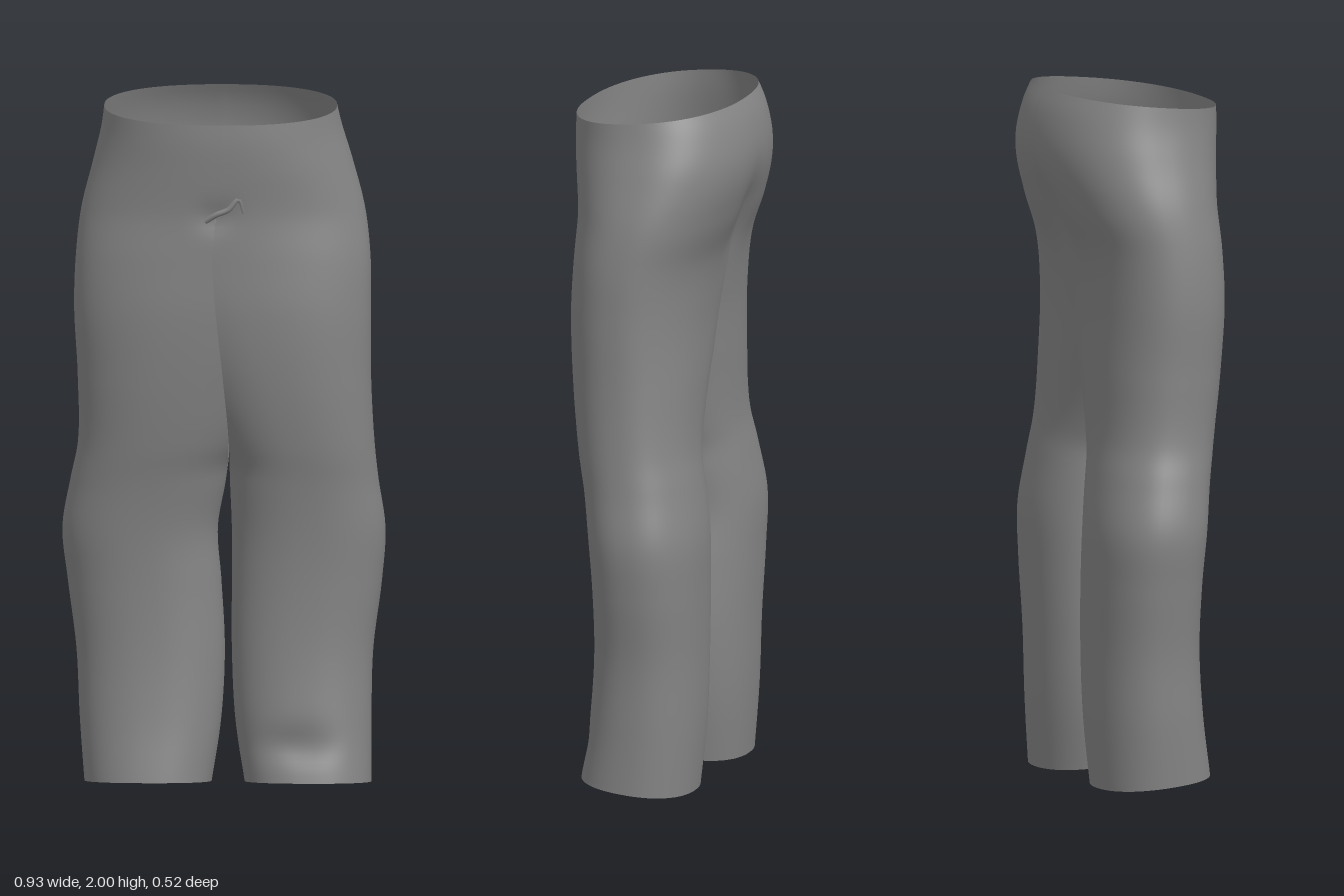
import * as THREE from 'three';

const CROTCH = 1.68, TOP = 1.978, HEM = 0.018, KNEE = 0.9;
const DEG = Math.PI / 180;

// Cross-sections from hem to waist:
// height, outer x (left, right), inner x (left, right), front z, back z,
// half sweep of the outer panel in degrees, hollow depth of the inseam
const SECTIONS = [
  [0.00, 0.42, -0.40, 0.06, -0.04, 0.18, -0.15, 180, 0],
  [0.20, 0.42, -0.415, 0.03, -0.01, 0.155, -0.165, 180, 0],
  [0.40, 0.425, -0.425, 0.02, 0.00, 0.14, -0.17, 180, 0],
  [0.60, 0.45, -0.45, 0.02, -0.01, 0.14, -0.175, 180, 0],
  [0.75, 0.46, -0.465, 0.02, -0.02, 0.15, -0.175, 180, 0],
  [0.90, 0.44, -0.44, 0.015, 0.005, 0.17, -0.155, 180, 0],
  [1.00, 0.43, -0.42, 0.015, 0.014, 0.19, -0.14, 150, 0.01],
  [1.20, 0.42, -0.42, 0.00, 0.00, 0.22, -0.138, 122, 0.05],
  [1.40, 0.42, -0.43, -0.02, -0.02, 0.238, -0.145, 106, 0.10],
  [1.55, 0.418, -0.425, -0.03, -0.03, 0.24, -0.17, 97, 0.14],
  [1.68, 0.402, -0.41, -0.02, -0.02, 0.242, -0.225, 90, 0.18],
  [1.82, 0.365, -0.375, 0.00, 0.00, 0.255, -0.26, 90, 0.18],
  [1.92, 0.335, -0.352, 0.00, 0.00, 0.261, -0.245, 90, 0.18],
  [2.00, 0.318, -0.342, 0.00, 0.00, 0.26, -0.21, 90, 0.18],
];
const spline = new THREE.CubicInterpolant(
  SECTIONS.map((s) => s[0]), SECTIONS.flatMap((s) => s.slice(1)), 8, new Float32Array(8));

const bell = (t, w) => Math.exp(-(t * t) / (w * w));
const spow = (v, p) => Math.sign(v) * Math.abs(v) ** p;

function sectionAt(y, side) {
  const [oL, oR, iL, iR, zf, zb, sweep, hollow] = spline.evaluate(y);
  const t0 = THREE.MathUtils.clamp(y >= CROTCH ? 90 : y <= KNEE ? 180 : sweep, 90, 180) * DEG;
  const xo = side > 0 ? oL : oR, xi = side > 0 ? iL : iR;
  const p = 0.88;
  const k = spow(Math.cos(t0), p);
  const a = (xo - xi) / (1 - k);
  return { xi, a, c: xo - a, t0, p, zm: (zf + zb) / 2, zr: (zf - zb) / 2, hollow: Math.max(0, hollow) };
}

// Point on the outer cloth, v from -1 (back seam) to 1 (front seam)
function outerPoint(y, v, side) {
  const s = sectionAt(y, side);
  const t = v * s.t0;
  const x = s.c + s.a * spow(Math.cos(t), s.p);
  let z = s.zm + s.zr * spow(Math.sin(t), s.p);
  if (v < 0) z += 0.02 * bell(x - s.xi, 0.06) * bell(y - 1.66, 0.1); // seat cleft
  else {
    z -= 0.012 * bell(x - s.xi, 0.05) * bell(y - 1.68, 0.04); // front pinch
    if (side > 0) z -= 0.02 * bell(x - 0.2, 0.1) * bell(y - 0.13, 0.06); // dent above left hem
  }
  // tilt the waist opening and the hem
  const waist = THREE.MathUtils.smoothstep(y, 1.72, TOP);
  const hem = 1 - THREE.MathUtils.smoothstep(y, HEM, 0.25);
  return [x, y + z * 0.1 * (hem - waist), z];
}

// Point on the hidden inner wall, s from -1 (back seam) to 1 (front seam)
function innerPoint(y, s, side) {
  const sec = sectionAt(y, side);
  const f = outerPoint(y, 1, side)[2], b = outerPoint(y, -1, side)[2];
  const bulge = sec.hollow * Math.sqrt(Math.max(0, 1 - s * s));
  return [sec.xi + side * bulge, y, (f + b) / 2 + s * (f - b) / 2];
}

// Smooth sheet from a rule point(u, v), both 0..1
function sheet(rows, cols, point, flip) {
  const pos = [], idx = [];
  for (let i = 0; i <= rows; i++)
    for (let j = 0; j <= cols; j++) pos.push(...point(i / rows, j / cols));
  for (let i = 0; i < rows; i++)
    for (let j = 0; j < cols; j++) {
      const a = i * (cols + 1) + j, b = a + 1, d = a + cols + 1, c = d + 1;
      if (flip) idx.push(a, c, b, a, d, c);
      else idx.push(a, b, c, a, c, d);
    }
  const g = new THREE.BufferGeometry();
  g.setAttribute('position', new THREE.Float32BufferAttribute(pos, 3));
  g.setIndex(idx);
  g.computeVertexNormals();
  return g;
}

export function createModel() {
  const group = new THREE.Group();
  group.name = 'trousers';
  const cloth = new THREE.MeshStandardMaterial({ color: 0x858585, side: THREE.DoubleSide });
  cloth.name = 'grey cloth';
  const add = (name, geometry) => {
    const mesh = new THREE.Mesh(geometry, cloth);
    mesh.name = name;
    group.add(mesh);
    return mesh;
  };
  const lerp = THREE.MathUtils.lerp;

  for (const [label, side] of [['left', 1], ['right', -1]]) {
    // hip and leg cloth, wrapping the whole leg below the knee
    add(label + 'LegPanel', sheet(90, 56,
      (u, v) => outerPoint(lerp(HEM, TOP, u), 1 - 2 * v, side), side < 0));
    // inner thigh wall
    add(label + 'Inseam', sheet(36, 24,
      (u, v) => innerPoint(lerp(KNEE, CROTCH, u), Math.sin((v - 0.5) * Math.PI), side), side < 0));
  }

  // crotch gusset bridging the two inner walls
  add('gusset', sheet(28, 16, (u, v) => {
    const s = Math.sin((u - 0.5) * Math.PI);
    const r = innerPoint(CROTCH, s, -1), l = innerPoint(CROTCH, s, 1);
    const w = 2 * v - 1;
    return [lerp(r[0], l[0], v), CROTCH + 0.03 * (1 - w * w) * (1 - s * s), lerp(r[2], l[2], v)];
  }, false));

  // small crumpled fold at the top of the front seam
  const foldPath = new THREE.CatmullRomCurve3([
    [-0.05, 1.67, 0.232], [-0.02, 1.69, 0.24], [0.015, 1.705, 0.242],
    [0.045, 1.735, 0.24], [0.06, 1.695, 0.232],
  ].map((p) => new THREE.Vector3(...p)));
  add('frontFold', new THREE.TubeGeometry(foldPath, 20, 0.008, 8));

  return group;
}
